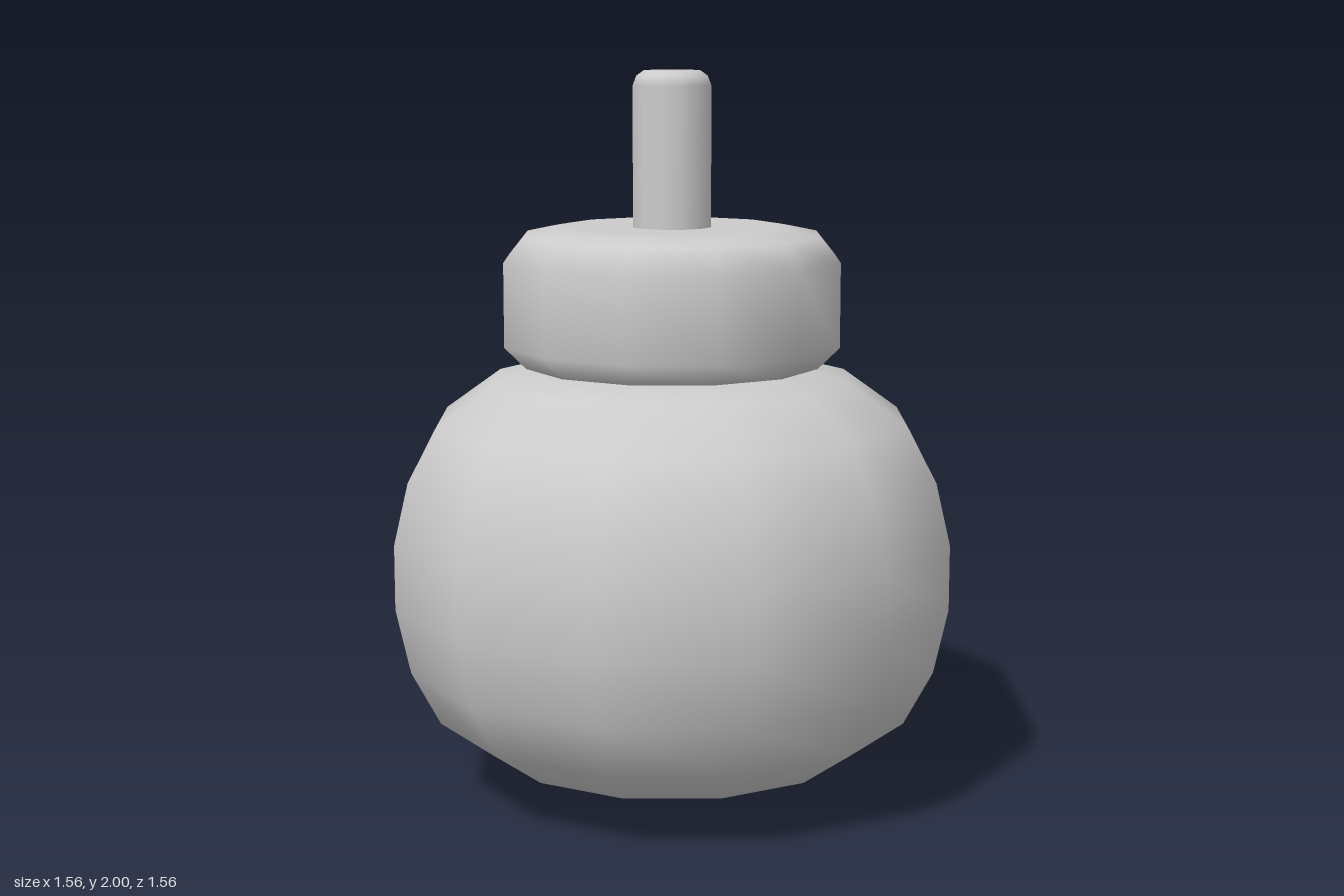
import * as THREE from 'three';

const SIDES = 12;

// Smooth twelve-sided turned part from [radius, height] pairs, bottom to top
function turned(name, profile) {
  const points = profile.map(([r, y]) => new THREE.Vector2(r, y));
  const material = new THREE.MeshStandardMaterial({ color: 0xcccccc });
  const mesh = new THREE.Mesh(new THREE.LatheGeometry(points, SIDES), material);
  mesh.name = name;
  return mesh;
}

export function createModel() {
  const model = new THREE.Group();
  model.name = 'bottle';

  // Round, slightly squashed body
  model.add(turned('body', [
    [0, 0], [0.23, 0.03], [0.5, 0.11], [0.66, 0.22], [0.74, 0.37], [0.78, 0.55],
    [0.78, 0.73], [0.74, 0.9], [0.66, 1.05], [0.5, 1.165], [0.34, 1.2], [0, 1.21],
  ]));

  // Wide collar with bevelled rims
  model.add(turned('collar', [
    [0, 1.195], [0.34, 1.195], [0.41, 1.2], [0.47, 1.26],
    [0.47, 1.49], [0.415, 1.557], [0.32, 1.577], [0.29, 1.578], [0, 1.578],
  ]));

  // Thin stem with a rounded tip
  model.add(turned('stem', [
    [0.11, 1.55], [0.11, 1.96], [0.1, 1.985], [0.08, 1.999], [0.07, 2], [0, 2],
  ]));

  return model;
}
